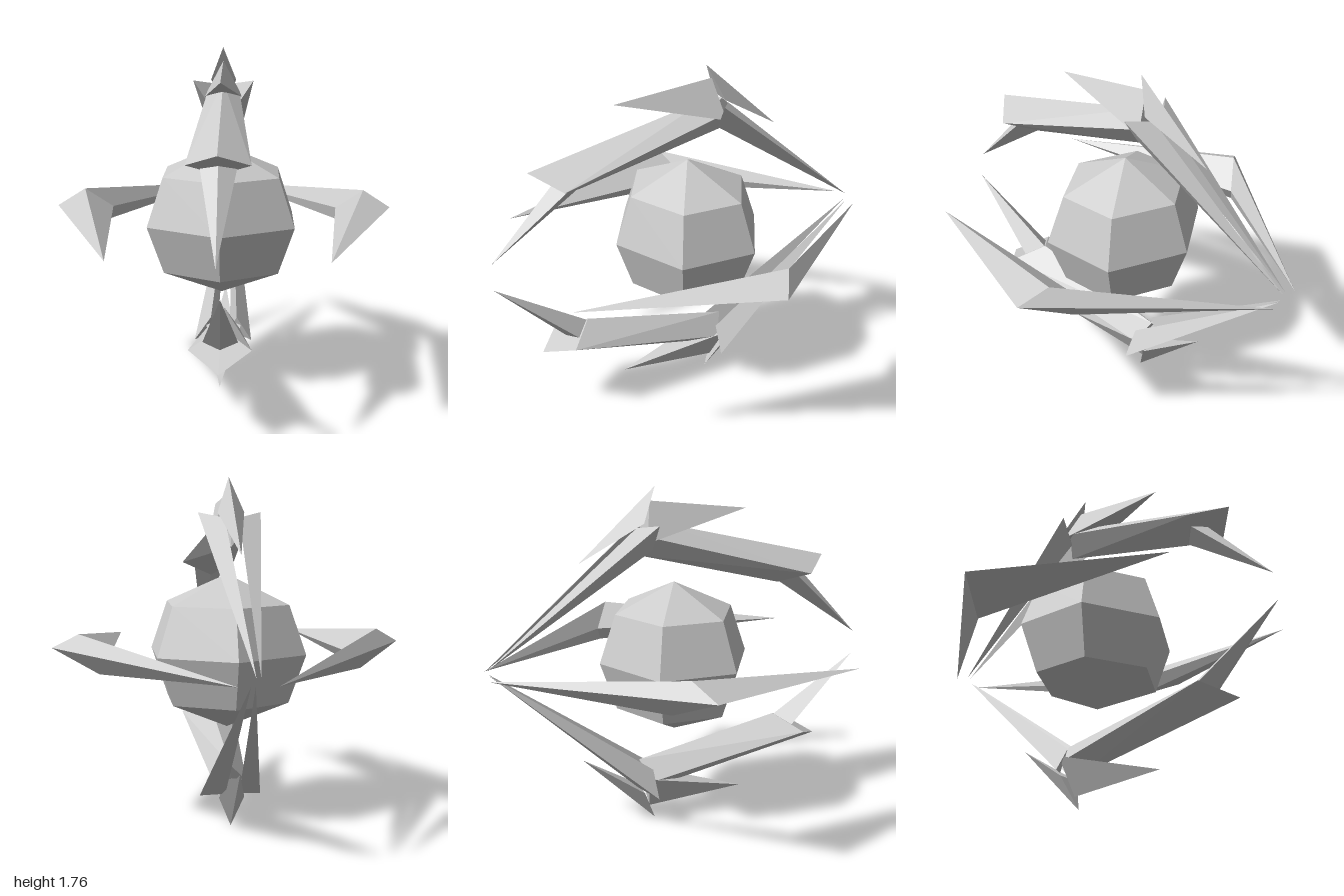
import * as THREE from 'three';
import { ConvexGeometry } from 'three/addons/geometries/ConvexGeometry.js';

const material = new THREE.MeshStandardMaterial({ color: 0xcccccc, flatShading: true });

// Faceted shard: the convex hull of a few corner points
function shard(name, points) {
  const geometry = new ConvexGeometry(points.map((p) => new THREE.Vector3(...p)));
  const mesh = new THREE.Mesh(geometry, material);
  mesh.name = name;
  return mesh;
}

// Corner points of one arm assembly, given for the upper arm
const armParts = {
  armBar: [
    [0, 1.375, 0.78], [0.148, 1.31, 0.65], [-0.148, 1.31, 0.65], [0, 1.245, 0.53],
    [0, 1.6, -0.15], [0.085, 1.53, -0.17], [-0.085, 1.53, -0.17], [0, 1.435, -0.225],
  ],
  frontSpike: [
    [0, 0.935, 0.99], [0, 1.31, 0.65], [0.085, 1.295, 0.6], [-0.085, 1.295, 0.6], [0, 1.25, 0.535],
  ],
  topBlade: [
    [0, 1.64, 0.345], [0, 1.7, -0.165], [0.1, 1.51, -0.2], [-0.1, 1.51, -0.2],
  ],
  rearFin: [
    [0, 1.77, -0.135], [0.065, 1.6, -0.21], [-0.065, 1.6, -0.21], [0, 1.41, -0.525],
  ],
};

// Rear prong, one on each side
const prong = (s) => [
  [s * 0.155, 1.6, -0.16], [s * 0.035, 1.575, -0.24], [s * 0.07, 1.47, -0.168], [s * 0.01, 0.92, -0.99],
];

function createArm(name, place) {
  const arm = new THREE.Group();
  arm.name = name;
  for (const [part, points] of Object.entries(armParts)) arm.add(shard(part, points.map(place)));
  arm.add(shard('leftProng', prong(1).map(place)), shard('rightProng', prong(-1).map(place)));
  return arm;
}

// The lower arm is mirrored downwards with a slight tilt
function placeLower([x, y, z]) {
  const ly = 1.775 - 0.035 * z - y;
  return [x + 0.035 * (ly - 0.25), ly, z + 0.03 * (ly - 0.6)];
}

// Side wing: two long spikes that share a diamond-shaped knee
function createWing(name, s) {
  const mirror = ([x, y, z]) => [s * x, y, z];
  const knee = [[0.872, 0.945, -0.13], [0.74, 1.02, -0.205], [0.603, 0.905, -0.288], [0.645, 0.832, -0.265]];
  const wing = new THREE.Group();
  wing.name = name;
  wing.add(shard('wingFront', [...knee, [0.5, 0.9, 0.76]].map(mirror)));
  wing.add(shard('wingBack', [...knee, [0.085, 0.89, -0.995]].map(mirror)));
  return wing;
}

export function createModel() {
  const model = new THREE.Group();
  model.name = 'bladedOrb';

  // Six-sided core
  const profile = [[0, -0.393], [0.308, -0.247], [0.392, 0], [0.308, 0.247], [0, 0.393]];
  const core = new THREE.Mesh(
    new THREE.LatheGeometry(profile.map(([r, y]) => new THREE.Vector2(r, y)), 6),
    material,
  );
  core.name = 'core';
  core.scale.x = 1.09;
  core.position.set(-0.005, 0.898, -0.04);
  model.add(core);

  model.add(createArm('upperArm', (p) => p), createArm('lowerArm', placeLower));
  model.add(createWing('leftWing', 1), createWing('rightWing', -1));
  return model;
}
